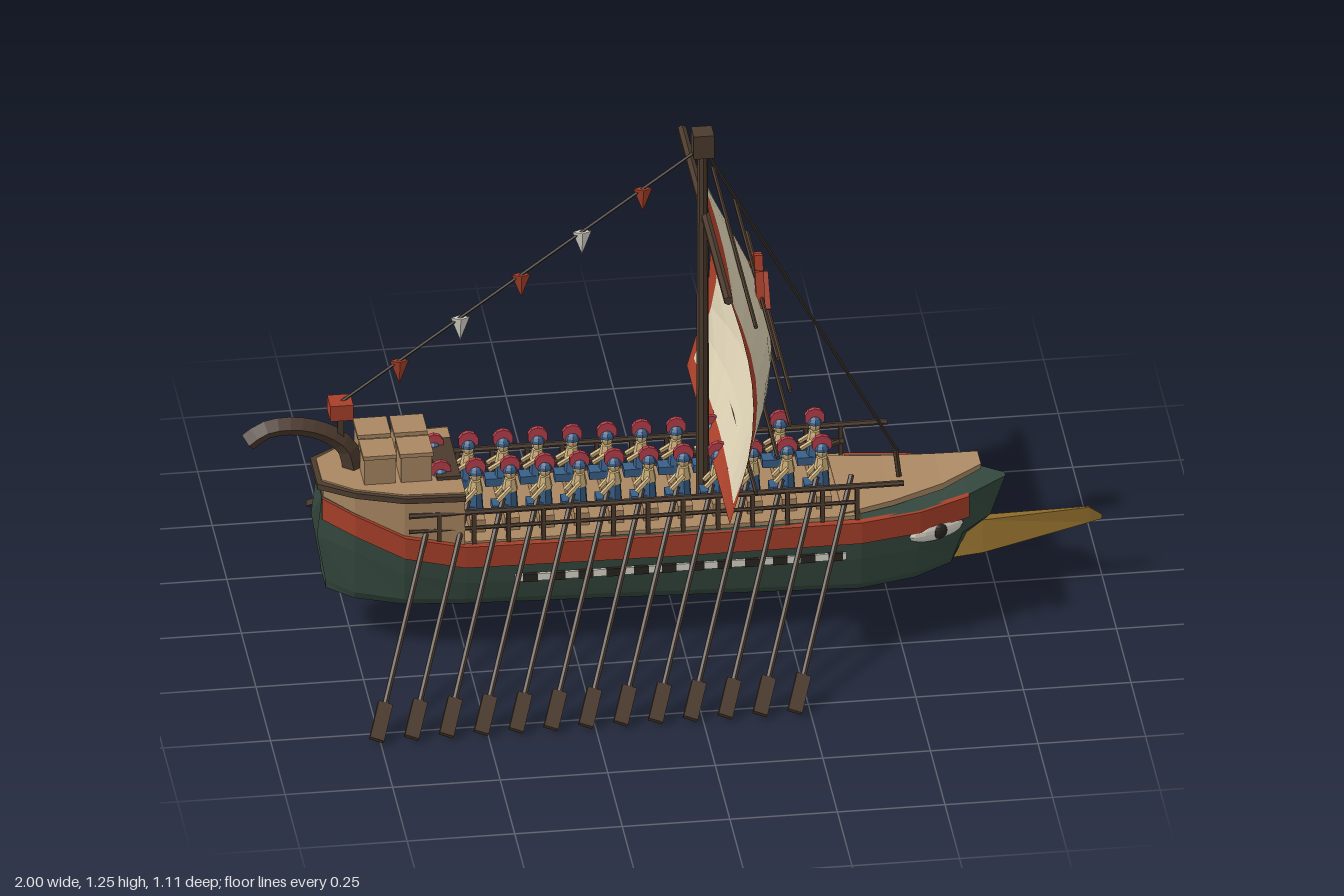
import * as THREE from 'three';

const mat = (color) => new THREE.MeshStandardMaterial({ color, flatShading: true, side: THREE.DoubleSide });
const M = {
  green: mat(0x34483e), red: mat(0xa8402a), tan: mat(0xa98762), brown: mat(0x4c3b2e), dark: mat(0x2a2520),
  cream: mat(0xd8cdb0), gold: mat(0x8c6a2a), blue: mat(0x3a5f88), white: mat(0xdcd8cc), crest: mat(0xb8404c),
  skin: mat(0xcfb27c), rope: mat(0x3a3028),
};
const V = (x, y, z) => new THREE.Vector3(x, y, z);
const UP = V(0, 1, 0);

function add(parent, name, geometry, material, x = 0, y = 0, z = 0) {
  const mesh = new THREE.Mesh(geometry, material);
  mesh.name = name;
  mesh.position.set(x, y, z);
  parent.add(mesh);
  return mesh;
}
const box = (p, name, m, w, h, d, x, y, z) => add(p, name, new THREE.BoxGeometry(w, h, d), m, x, y, z);

// Straight rod between two points
function rod(parent, name, m, a, b, r, sides = 6, r2 = r) {
  const mesh = add(parent, name, new THREE.CylinderGeometry(r2, r, a.distanceTo(b), sides), m);
  mesh.position.copy(a).add(b).multiplyScalar(0.5);
  mesh.quaternion.setFromUnitVectors(UP, b.clone().sub(a).normalize());
  return mesh;
}

// Skin through closed sections running towards +x, capped at both ends
function loft(rings) {
  const out = [], n = rings[0].length;
  const tri = (...pts) => pts.forEach((p) => out.push(p.x, p.y, p.z));
  for (let i = 0; i < rings.length - 1; i++) {
    for (let j = 0; j < n; j++) {
      const k = (j + 1) % n, a = rings[i][k], b = rings[i + 1][k], c = rings[i + 1][j], d = rings[i][j];
      tri(a, b, d);
      tri(b, c, d);
    }
  }
  const first = rings[0], last = rings[rings.length - 1];
  for (let k = 1; k < n - 1; k++) {
    tri(first[0], first[k + 1], first[k]);
    tri(last[0], last[k], last[k + 1]);
  }
  const g = new THREE.BufferGeometry();
  g.setAttribute('position', new THREE.Float32BufferAttribute(out, 3));
  g.computeVertexNormals();
  return g;
}

// Hull stations: x, sheer height, keel height, half width, keel shift in x
const HULL = [
  [-0.82, 0.38, 0.135, 0.05, 0.01], [-0.75, 0.36, 0.13, 0.105, 0], [-0.64, 0.315, 0.125, 0.145, 0],
  [-0.5, 0.285, 0.12, 0.153, 0], [0, 0.28, 0.105, 0.155, 0], [0.42, 0.28, 0.09, 0.155, 0],
  [0.56, 0.283, 0.097, 0.13, -0.01], [0.68, 0.288, 0.105, 0.08, -0.04], [0.775, 0.29, 0.125, 0.008, -0.1],
];

function buildHull(ship) {
  add(ship, 'hull', loft(HULL.map(([x, t, b, w, s], i) => {
    const mid = t - 0.1, mx = x + s * 0.35 - (i === 0 ? 0.015 : 0);
    const half = [V(x, t, w), V(mx, mid, w), V(x + s * 0.9, b + 0.02, w * 0.96), V(x + s, b, w * 0.87)];
    return [...half, ...half.map((p) => V(p.x, p.y, -p.z)).reverse()];
  })), M.green);

  for (const s of [1, -1]) {
    // Red wale along the sheer
    const wale = HULL.slice(0, 8).map(([x, t, , w]) => [s * w + 0.009, s * w - 0.009].flatMap((z, i) =>
      i ? [V(x, t - 0.055, z), V(x, t, z)] : [V(x, t, z), V(x, t - 0.055, z)]));
    add(ship, 'wale', loft(wale), M.red);
    // Pale strake with dark oar ports
    box(ship, 'oarPortStrake', M.white, 0.77, 0.018, 0.008, 0, 0.192, s * 0.156);
    for (let i = 0; i < 12; i++) box(ship, 'oarPort', M.dark, 0.034, 0.02, 0.01, -0.35 + i * 0.0645, 0.192, s * 0.157);
    // Painted eye at the bow
    const eye = new THREE.Group();
    eye.name = 'bowEye';
    eye.position.set(0.6, 0.218, s * 0.113);
    eye.rotation.y = s * 0.39;
    add(eye, 'eyeWhite', new THREE.SphereGeometry(1, 12, 8), M.white).scale.set(0.072, 0.024, 0.014);
    add(eye, 'eyePupil', new THREE.SphereGeometry(1, 10, 8), M.dark, 0.005, 0, s * 0.008).scale.set(0.02, 0.019, 0.011);
    ship.add(eye);
  }

  // Main deck and rising foredeck
  box(ship, 'mainDeck', M.tan, 1.0, 0.012, 0.29, -0.08, 0.284, 0);
  const slab = (x, y, w, h) => [V(x, y, w), V(x, y - h, w), V(x, y - h, -w), V(x, y, -w)];
  add(ship, 'foredeck', loft([slab(0.38, 0.292, 0.135, 0.012), slab(0.5, 0.3, 0.105, 0.014),
    slab(0.62, 0.316, 0.07, 0.016), slab(0.715, 0.338, 0.03, 0.012)]), M.tan);

  // Bronze ram
  const prow = (x, y0, y1, w) => [V(x, y1, w * 0.35), V(x, y0, w), V(x, y0, -w), V(x, y1, -w * 0.35)];
  add(ship, 'ram', loft([prow(0.6, 0.095, 0.16, 0.04), prow(0.72, 0.105, 0.178, 0.036),
    prow(0.97, 0.15, 0.187, 0.008), prow(1.0, 0.155, 0.165, 0.003)]), M.gold);
}

function buildStern(ship) {
  // Raised quarter with its platform
  const plan = HULL.slice(0, 4);
  const layer = (y0, y1, grow) => loft(plan.map(([x, t, , w], i) => {
    const z = w + grow, px = x - (i ? 0 : grow), lo = y0 ?? t - 0.005;
    return [V(px, y1, z), V(px, lo, z), V(px, lo, -z), V(px, y1, -z)];
  }));
  add(ship, 'sternQuarter', layer(null, 0.41, -0.004), M.tan);
  add(ship, 'sternPlatformEdge', layer(0.408, 0.422, 0.012), M.brown);
  add(ship, 'sternPlatform', layer(0.42, 0.426, 0.0), M.tan);
  box(ship, 'platformStep', M.brown, 0.055, 0.012, 0.18, -0.53, 0.429, 0);

  // Cargo crates
  for (const x of [-0.69, -0.605]) {
    for (const z of [-0.05, 0.05]) {
      box(ship, 'crate', M.tan, 0.072, 0.07, 0.075, x, 0.461, z);
      box(ship, 'crateLid', M.tan, 0.078, 0.01, 0.081, x, 0.497, z);
    }
  }

  // Curled sternpost and lantern
  const curl = new THREE.CatmullRomCurve3([V(-0.74, 0.42, 0), V(-0.755, 0.48, 0), V(-0.81, 0.525, 0),
    V(-0.885, 0.545, 0), V(-0.945, 0.538, 0), V(-0.985, 0.51, 0)]);
  add(ship, 'sternpost', new THREE.TubeGeometry(curl, 12, 0.024, 4), M.brown).scale.z = 0.8;
  box(ship, 'lanternPost', M.brown, 0.014, 0.07, 0.014, -0.77, 0.54, 0);
  box(ship, 'lantern', M.red, 0.054, 0.04, 0.054, -0.77, 0.585, 0);
}

function buildRower(x, s) {
  const g = new THREE.Group();
  g.name = 'rower';
  g.position.set(x, 0.29, s * 0.062);
  box(g, 'bench', M.tan, 0.035, 0.032, 0.085, 0, 0.016, 0);
  box(g, 'legs', M.blue, 0.045, 0.02, 0.035, -0.02, 0.042, 0);
  add(g, 'tunic', new THREE.CylinderGeometry(0.016, 0.02, 0.055, 7), M.blue, 0, 0.06, 0);
  add(g, 'shoulders', new THREE.CylinderGeometry(0.013, 0.019, 0.03, 7), M.skin, 0, 0.1, 0);
  add(g, 'head', new THREE.SphereGeometry(0.016, 8, 6), M.skin, 0, 0.13, 0);
  add(g, 'helmet', new THREE.SphereGeometry(0.019, 8, 4, 0, Math.PI * 2, 0, Math.PI / 2), M.blue, 0, 0.134, 0);
  add(g, 'crest', new THREE.CylinderGeometry(0.024, 0.024, 0.011, 10), M.crest, 0, 0.149, 0).rotation.x = Math.PI / 2;
  // Arms reach back to the oar
  for (const z of [-0.016, 0.016]) rod(g, 'arm', M.skin, V(0, 0.098, z), V(-0.032, 0.07, z + s * 0.012), 0.006, 5);
  return g;
}

function buildCrew(ship) {
  for (const s of [1, -1]) {
    for (let i = 0; i < 12; i++) ship.add(buildRower(-0.545 + i * 0.0805, s));

    // Oars sweeping aft
    for (let i = 0; i < 13; i++) {
      const x = -0.76 + i * 0.081, tip = V(x, 0.014, s * 0.548), grip = V(x + 0.195, 0.36, s * 0.08);
      const oar = new THREE.Group();
      oar.name = 'oar';
      rod(oar, 'oarShaft', M.brown, tip, grip, 0.007);
      const blade = box(oar, 'oarBlade', M.brown, 0.034, 0.095, 0.014, 0, 0, 0);
      const dir = grip.clone().sub(tip).normalize();
      blade.position.copy(tip).addScaledVector(dir, 0.0475);
      blade.quaternion.setFromUnitVectors(UP, dir);
      ship.add(oar);
    }

    // Side railing
    for (const [y, r] of [[0.367, 0.007], [0.325, 0.005]])
      rod(ship, 'rail', M.brown, V(-0.63, y, s * 0.143), V(y > 0.35 ? 0.52 : 0.41, y, s * 0.143), r);
    for (let i = 0; i < 13; i++) box(ship, 'railPost', M.brown, 0.01, 0.09, 0.012, -0.56 + i * 0.081, 0.322, s * 0.143);
  }
}

// Billow of the sail towards the bow
const billow = (z, y) => 0.085 + (0.055 + 0.085 * (1 - (z / 0.37) ** 2)) * Math.sin(Math.PI * (y - 0.42) / 0.6);

function sailPanel(ship, name, m, z0, z1, y0, y1, nz, ny) {
  const g = new THREE.PlaneGeometry(1, 1, nz, ny), p = g.attributes.position;
  for (let i = 0; i < p.count; i++) {
    const z = z0 + (z1 - z0) * (0.5 - p.getX(i)), y = y0 + (y1 - y0) * (p.getY(i) + 0.5);
    p.setXYZ(i, billow(z, y), y, z);
  }
  g.computeVertexNormals();
  add(ship, name, g, m);
}

function buildRig(ship) {
  rod(ship, 'mast', M.brown, V(0.072, 0.28, 0), V(0.072, 1.21, 0), 0.016, 8, 0.012);
  box(ship, 'mastTop', M.brown, 0.048, 0.06, 0.048, 0.072, 1.225, 0);
  rod(ship, 'yard', M.brown, V(0.078, 1.032, -0.4), V(0.078, 1.032, 0.4), 0.011);

  // Cream sail with a red border
  sailPanel(ship, 'sail', M.cream, -0.34, 0.34, 0.455, 0.985, 8, 8);
  for (const s of [1, -1]) sailPanel(ship, 'sailSideBorder', M.red, s * 0.34, s * 0.37, 0.455, 0.985, 1, 8);
  sailPanel(ship, 'sailTopBorder', M.red, -0.37, 0.37, 0.985, 1.02, 10, 1);
  sailPanel(ship, 'sailBottomBorder', M.red, -0.37, 0.37, 0.42, 0.455, 10, 1);

  // Sail battens
  for (let i = 0; i < 6; i++) {
    const y = 0.5 + i * 0.088, x = billow(0, y) + 0.004;
    rod(ship, 'sailBatten', M.brown, V(x, y, -0.37), V(x, y, 0.37), 0.005);
  }

  // Slanted red stripes: z, y, lean
  for (const [z, y, lean] of [[0.077, 0.868, -0.35], [0.017, 0.83, -0.6], [-0.045, 0.842, -0.26],
    [-0.105, 0.818, 0.18], [-0.163, 0.795, 0.53]])
    box(ship, 'sailStripe', M.red, 0.02, 0.088, 0.019, billow(z, y) + 0.012, y, z).rotation.x = lean;

  // Stays, with pennants on the after one
  const top = V(0.072, 1.215, 0), aft = V(-0.77, 0.6, 0);
  rod(ship, 'forestay', M.rope, top, V(0.525, 0.37, 0), 0.004, 5);
  rod(ship, 'forestayPost', M.brown, V(0.53, 0.29, 0), V(0.52, 0.375, 0), 0.007);
  rod(ship, 'backstay', M.rope, top, aft, 0.004, 5);
  for (let i = 0; i < 5; i++) {
    const p = top.clone().lerp(aft, 0.165 + i * 0.168);
    const pennant = add(ship, 'pennant', new THREE.ConeGeometry(0.022, 0.06, 4), i % 2 ? M.white : M.red, p.x, p.y - 0.03, 0);
    pennant.rotation.x = Math.PI;
    pennant.scale.z = 0.5;
  }
}

export function createModel() {
  const ship = new THREE.Group();
  ship.name = 'galley';
  buildHull(ship);
  buildStern(ship);
  buildCrew(ship);
  buildRig(ship);
  return ship;
}
